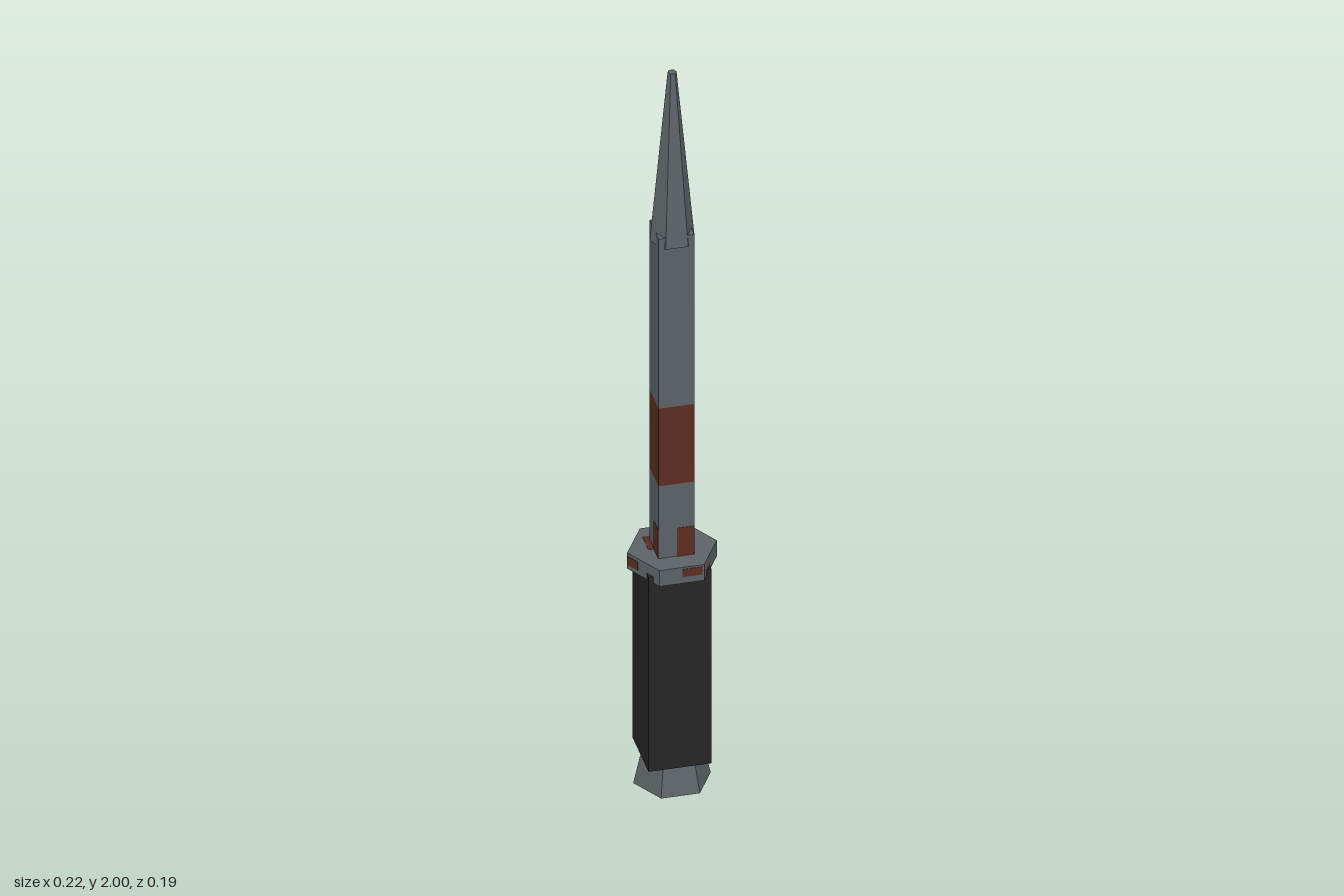
import * as THREE from 'three';

export function createModel() {
  const group = new THREE.Group();
  group.name = 'dagger';
  const mat = (name, color) => {
    const m = new THREE.MeshStandardMaterial({ color, flatShading: true });
    m.name = name;
    return m;
  };
  const steel = mat('steel', 0x5c6266);
  const black = mat('blackGrip', 0x252525);
  const rust = mat('rust', 0x5a2e22);

  const add = (name, geometry, material, parent = group) => {
    const mesh = new THREE.Mesh(geometry, material);
    mesh.name = name;
    parent.add(mesh);
    return mesh;
  };
  // Square bar centred on the axis between two heights
  const bar = (name, width, y0, y1, material) =>
    add(name, new THREE.BoxGeometry(width, y1 - y0, width), material).position.y = (y0 + y1) / 2;
  // Six-sided part with corners on the x axis
  const hex = (name, top, bottom, y0, y1, material) =>
    add(name, new THREE.CylinderGeometry(top, bottom, y1 - y0, 6).rotateY(Math.PI / 6), material)
      .position.y = (y0 + y1) / 2;
  // Thin patch on a side facet: angle from +z, distance out, sideways offset
  const patch = (name, angle, out, offset, width, y0, y1) => {
    const pivot = new THREE.Group();
    pivot.name = name;
    pivot.rotation.y = angle;
    add(name + 'Plate', new THREE.BoxGeometry(width, y1 - y0, 0.002), rust, pivot)
      .position.set(offset, (y0 + y1) / 2, out);
    group.add(pivot);
  };

  // Handle
  hex('pommel', 0.077, 0.095, 0, 0.08, steel);
  bar('grip', 0.154, 0.077, 0.628, black);
  hex('guard', 0.11, 0.11, 0.61, 0.655, steel);

  // Blade with a rusted band, and its tapered point
  bar('bladeLower', 0.088, 0.64, 0.86, steel);
  bar('bladeRustBand', 0.088, 0.86, 1.08, rust);
  bar('bladeUpper', 0.088, 1.08, 1.56, steel);
  hex('bladeTip', 0.011, 0.055, 1.53, 2, steel);

  // Rust at the foot of each blade face
  for (let i = 0; i < 4; i++) patch('bladeRust', i * Math.PI / 2, 0.044, 0.022, 0.043, 0.65, 0.735);

  // Rust on the guard edge, repeated on opposite sides
  for (const turn of [0, Math.PI]) {
    patch('guardRust', turn, 0.0953, 0.026, 0.05, 0.628, 0.65);
    patch('guardRust', turn + Math.PI * 2 / 3, 0.0953, -0.036, 0.036, 0.622, 0.646);
  }

  // Rust on the guard top and under the pommel
  add('guardTopRust', new THREE.BoxGeometry(0.058, 0.002, 0.058), rust).position.set(-0.029, 0.655, -0.029);
  add('pommelRust', new THREE.CylinderGeometry(0.022, 0.022, 0.002, 8), rust).position.set(-0.032, 0.0006, -0.032);

  return group;
}
